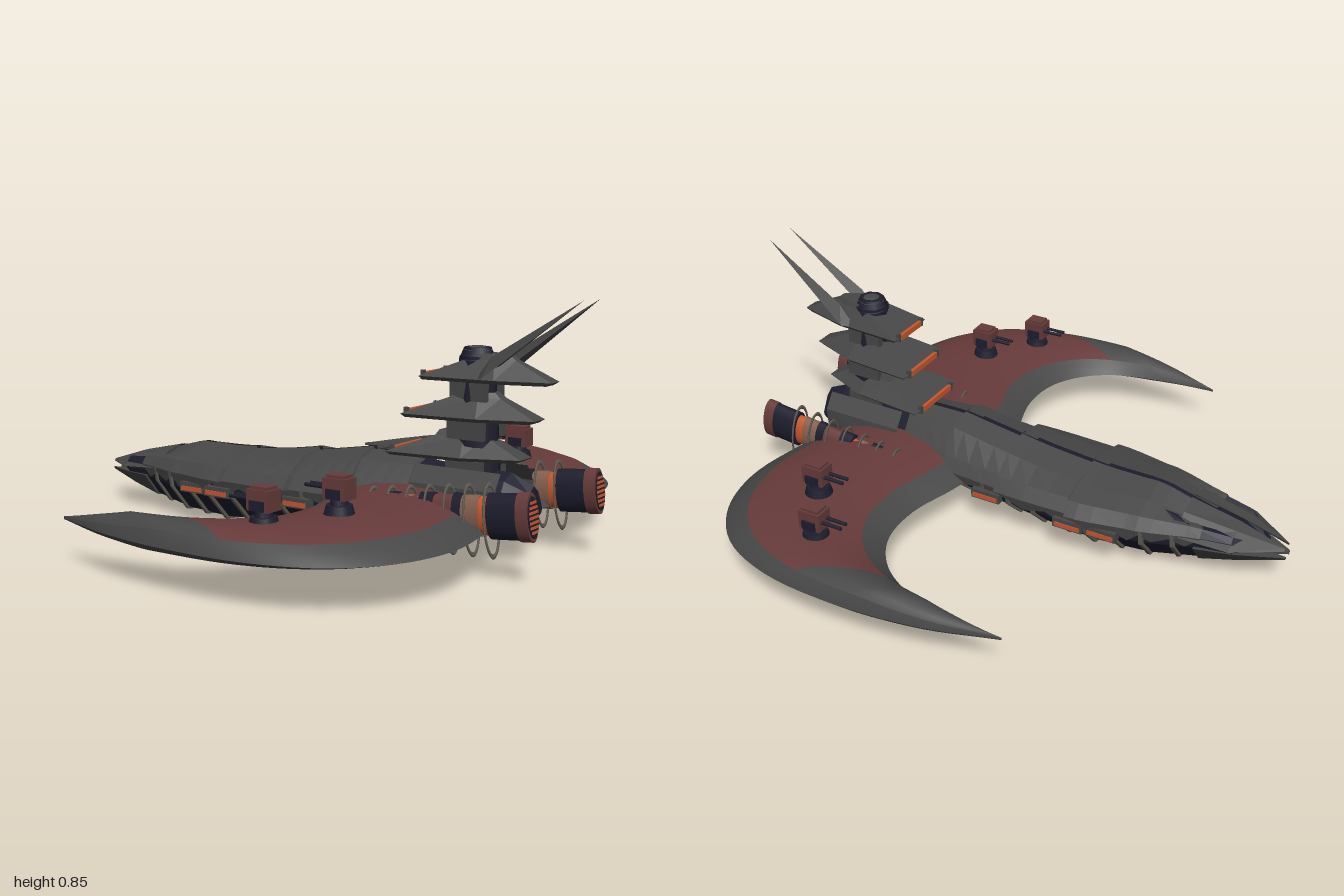
import * as THREE from 'three';

const mat = (name, color) => {
  const m = new THREE.MeshStandardMaterial({ color, side: THREE.DoubleSide });
  m.name = name;
  return m;
};
const GREY = mat('armour grey', 0x474747), NAVY = mat('hull navy', 0x1d1d2e), RED = mat('panel red', 0x663b3a);
const ORANGE = mat('glow orange', 0xc8572f), BROWN = mat('copper brown', 0x86604f), TAN = mat('rib tan', 0x625e55);

function add(parent, name, geo, material, x = 0, y = 0, z = 0) {
  const m = new THREE.Mesh(geo, material);
  m.name = name;
  m.position.set(x, y, z);
  parent.add(m);
  return m;
}
const box = (w, h, d) => new THREE.BoxGeometry(w, h, d);

// Skin over rows of [x, y, z] points; closed rows wrap around and get end caps
function loft(rows, { closed = false, smooth = false } = {}) {
  const n = rows[0].length, pos = rows.flat(2), idx = [];
  for (let r = 0; r < rows.length - 1; r++)
    for (let i = 0; i < (closed ? n : n - 1); i++) {
      const a = r * n + i, b = r * n + (i + 1) % n, c = a + n, d = b + n;
      idx.push(a, c, b, b, c, d);
    }
  if (closed) for (let i = 1; i < n - 1; i++) {
    const e = (rows.length - 1) * n;
    idx.push(0, i, i + 1, e, e + i + 1, e + i);
  }
  let g = new THREE.BufferGeometry();
  g.setAttribute('position', new THREE.Float32BufferAttribute(pos, 3));
  g.setIndex(idx);
  if (!smooth) g = g.toNonIndexed();
  g.computeVertexNormals();
  return g;
}

// Hull stations: z, half width, top, bottom
const HULL = [
  [-0.93, 0.03, 0.155, 0.11], [-0.84, 0.11, 0.185, 0.07], [-0.7, 0.14, 0.225, 0.045], [-0.55, 0.185, 0.265, 0.022],
  [-0.35, 0.21, 0.26, 0.014], [-0.1, 0.2, 0.275, 0.03], [0.1, 0.18, 0.3, 0.048], [0.22, 0.17, 0.315, 0.06],
  [0.4, 0.14, 0.31, 0.07], [0.55, 0.115, 0.3, 0.08], [0.74, 0.1, 0.295, 0.09], [0.82, 0.06, 0.26, 0.14],
];
function station(z) {
  let i = 0;
  while (i < HULL.length - 2 && HULL[i + 1][0] < z) i++;
  const a = HULL[i], b = HULL[i + 1], t = (z - a[0]) / (b[0] - a[0]);
  return a.map((v, k) => v + (b[k] - v) * t);
}
// Half section from ridge to keel, swollen by s around the hull axis
function half(z, s = 1) {
  const [, w, t, b] = station(z), m = Math.min(0.18, t - 0.01);
  return [[0, t], [w * 0.5, t - 0.022], [w * 0.85, m + 0.04 * (t - b) / 0.25], [w, m],
    [w * 0.94, m - (m - b) * 0.35], [w * 0.5, b + 0.012], [0, b]].map(([x, y]) => [x * s, 0.17 + (y - 0.17) * s, z]);
}
const mirrorX = ([x, y, z]) => [-x, y, z];

function addHull(ship) {
  const ring = z => { const h = half(z); return [...h, ...h.slice(1, -1).reverse().map(mirrorX)]; };
  add(ship, 'hullCore', loft(HULL.map(s => ring(s[0])), { closed: true }), NAVY);
  // Thin ribs wrapped under the belly
  for (let i = 0; i < 11; i++) {
    const z = -0.66 + i * 0.1;
    const belly = (zz, s) => { const h = half(zz, s).slice(3); return [...h, ...h.slice(0, -1).reverse().map(mirrorX)]; };
    add(ship, 'bellyRib', loft([belly(z, 0.98), belly(z + 0.002, 1.06), belly(z + 0.014, 1.06), belly(z + 0.016, 0.98)]), TAN);
  }
}

function addHullSide(side) {
  // Overlapping roof plates with ragged lower edges
  for (const [z0, z1, s0, s1] of [[-0.74, -0.5, 1.04, 1.06], [-0.56, -0.29, 1.03, 1.14], [-0.34, -0.01, 1.03, 1.15],
    [-0.06, 0.22, 1.03, 1.09], [0.16, 0.42, 1.03, 1.06]]) {
    const rows = [0, 0.2, 0.4, 0.65, 0.85, 1].map((t, i) => {
      const h = half(z0 + (z1 - z0) * t, s0 + (s1 - s0) * t).slice(0, 5);
      const drop = [0.1, 0.9, 0.35, 0.75, 0.25, 0.05][i];
      h[0][0] = 0.01;
      h[4] = h[3].map((v, k) => v + (h[4][k] - v) * drop);
      return h;
    });
    const rear = rows[5].map(([x, y, z]) => [x * 0.9, 0.17 + (y - 0.17) * 0.86, z + 0.008]);
    add(side, 'roofPlate', loft([...rows, rear]), GREY);
  }
  // Split beak
  add(side, 'upperBeak', loft([
    [[0.01, 0.245, -0.66], [0.08, 0.228, -0.66], [0.158, 0.175, -0.66], [0.1, 0.15, -0.66]],
    [[0.01, 0.205, -0.84], [0.06, 0.198, -0.84], [0.135, 0.16, -0.84], [0.08, 0.145, -0.84]],
    [[0.016, 0.156, -0.995], [0.019, 0.156, -0.995], [0.026, 0.148, -0.995], [0.02, 0.146, -0.995]]], { closed: true }), GREY);
  add(side, 'lowerBeak', loft([
    [[0.145, 0.14, -0.72], [0.075, 0.056, -0.72], [0.008, 0.042, -0.72], [0.01, 0.13, -0.72]],
    [[0.105, 0.135, -0.85], [0.06, 0.085, -0.85], [0.008, 0.07, -0.85], [0.01, 0.13, -0.85]],
    [[0.026, 0.123, -1], [0.02, 0.114, -1], [0.014, 0.114, -1], [0.016, 0.122, -1]]], { closed: true }), GREY);
  // Side window blocks
  for (const z of [-0.42, -0.3, 0.03]) {
    const x = station(z)[1];
    add(side, 'windowHousing', box(0.04, 0.035, 0.11), GREY, x, 0.14, z);
    add(side, 'sideWindow', box(0.046, 0.016, 0.095), ORANGE, x, 0.136, z);
  }
  // Stern cheek plate
  add(side, 'sternPlate', loft([0.44, 0.6, 0.75].map((z, i) =>
    [[0.09, 0.305], [0.13, 0.25], [0.135 - i * 0.004, 0.19], [0.11, 0.12]].map(([x, y]) => [x, y, z]))), GREY);
}

function addWing(side) {
  const curve = pts => new THREE.CatmullRomCurve3(pts.map(([x, z]) => new THREE.Vector3(x, 0, z)));
  const lead = curve([[0.1, 0.11], [0.25, 0.145], [0.42, 0.19], [0.58, 0.18], [0.7, 0.11], [0.78, 0], [0.82, -0.14], [0.841, -0.28], [0.85, -0.4]]);
  const trail = curve([[0.1, 0.735], [0.28, 0.79], [0.5, 0.815], [0.7, 0.76], [0.85, 0.63], [0.935, 0.42], [0.955, 0.14], [0.925, -0.14], [0.85, -0.4]]);
  const N = 40, V = [0, 0.03, 0.08, 0.14, 0.3, 0.5, 0.7, 0.85, 0.92, 0.97, 1];
  const rows = (r0, r1, c0, c1, rise) => {
    const out = [];
    for (let r = r0; r <= r1; r++) {
      const t = r / N, a = lead.getPoint(t), b = trail.getPoint(t);
      const h = rise * (1 - 0.25 * t) * Math.min(1, (1 - t) * 4 + 0.1);
      out.push(V.slice(c0, c1 + 1).map(v =>
        [a.x + (b.x - a.x) * v, 0.15 + h * (1 - Math.abs(2 * v - 1) ** 3), a.z + (b.z - a.z) * v]));
    }
    return out;
  };
  const skin = (name, m, ...r) => add(side, name, loft(rows(...r), { smooth: true }), m);
  skin('wingLeadingBand', GREY, 0, N, 0, 3, 0.088);
  skin('wingTrailingBand', GREY, 0, N, 7, 10, 0.088);
  skin('wingTip', GREY, 26, N, 3, 7, 0.088);
  skin('wingRedPanel', RED, 0, 26, 3, 7, 0.088);
  skin('wingUnderside', GREY, 0, N, 0, 10, -0.034);
}

function addTurret(side, x, y, z) {
  const t = new THREE.Group();
  t.name = 'turret';
  t.position.set(x, y, z);
  side.add(t);
  add(t, 'turretBase', new THREE.CylinderGeometry(0.04, 0.048, 0.03, 16), NAVY, 0, 0.01, 0);
  add(t, 'turretNeck', new THREE.CylinderGeometry(0.024, 0.03, 0.03, 12), NAVY, 0, 0.035, 0);
  add(t, 'turretBody', box(0.062, 0.064, 0.08), RED, 0, 0.075, 0);
  add(t, 'turretRoof', box(0.05, 0.01, 0.064), RED, 0, 0.111, 0);
  for (const s of [-1, 1]) {
    add(t, 'turretCheek', box(0.008, 0.03, 0.05), NAVY, s * 0.034, 0.06, 0);
    const b = add(t, 'turretBarrel', new THREE.CylinderGeometry(0.006, 0.006, 0.08, 8), NAVY, s * 0.014, 0.075, -0.075);
    b.rotation.x = Math.PI / 2;
  }
}

function addEngine(side) {
  const e = new THREE.Group();
  e.name = 'engine';
  e.position.set(0.235, 0.155, 0.3);
  e.rotation.x = -0.1;
  side.add(e);
  // Banded oval drum: start, end, radius, colour
  for (const [a, b, r, m] of [[0, 0.04, 0.03, RED], [0.04, 0.07, 0.026, ORANGE], [0.07, 0.11, 0.033, NAVY], [0.11, 0.14, 0.027, ORANGE],
    [0.14, 0.18, 0.034, NAVY], [0.18, 0.23, 0.03, BROWN], [0.23, 0.26, 0.027, ORANGE], [0.26, 0.31, 0.035, NAVY],
    [0.31, 0.38, 0.032, RED], [0.38, 0.41, 0.035, NAVY], [0.41, 0.47, 0.032, BROWN], [0.47, 0.5, 0.03, ORANGE],
    [0.5, 0.6, 0.036, NAVY], [0.6, 0.64, 0.038, RED]]) {
    const g = new THREE.CylinderGeometry(r, r, b - a, 20).rotateX(Math.PI / 2).scale(1, 2, 1);
    add(e, 'engineBand', g, m, 0, 0, (a + b) / 2);
  }
  // Oval hoops
  for (let i = 0; i < 7; i++)
    add(e, 'engineHoop', new THREE.TorusGeometry(0.047, 0.0035, 6, 28).scale(1, 2.35 - (6 - i) * 0.06, 1), TAN, 0, -0.015, 0.08 + i * 0.07);
  // Nozzle grille
  add(e, 'nozzle', new THREE.CylinderGeometry(0.032, 0.032, 0.006, 20).rotateX(Math.PI / 2).scale(1, 2, 1), NAVY, 0, 0, 0.641);
  for (let i = -3; i <= 3; i++)
    add(e, 'grilleBar', box(0.058 * Math.sqrt(1 - (i / 4) ** 2), 0.008, 0.008), ORANGE, 0, i * 0.015, 0.642);
}

function addTower(ship) {
  const tower = new THREE.Group();
  tower.name = 'tower';
  ship.add(tower);
  const ring = (w, y, zf, zr) => [[w, zf], [w * 0.8, zf + (zr - zf) * 0.6], [w * 0.28, zr], [-w * 0.28, zr],
    [-w * 0.8, zf + (zr - zf) * 0.6], [-w, zf]].map(([x, z]) => [x, y, z]);
  add(tower, 'column', new THREE.CylinderGeometry(0.06, 0.085, 0.4, 8), NAVY, 0, 0.46, 0.61);
  // Pagoda tiers with lit front edges
  for (const [y, w, zf, zr] of [[0.335, 0.14, 0.35, 0.79], [0.462, 0.128, 0.4, 0.835], [0.585, 0.1, 0.45, 0.885]]) {
    add(tower, 'tier', loft([ring(w * 0.9, y - 0.004, zf + 0.01, zr - 0.02), ring(w, y + 0.008, zf, zr),
      ring(w * 0.52, y + 0.068, zf + 0.15, zr - 0.13), ring(w * 0.45, y + 0.085, zf + 0.16, zr - 0.15)], { closed: true }), GREY);
    add(tower, 'tierWindow', box(w * 1.3, 0.02, 0.012), ORANGE, 0, y + 0.008, zf - 0.001);
    for (const s of [-1, 1]) {
      add(tower, 'edgePost', box(0.012, 0.03, 0.014), GREY, s * w * 0.72, y + 0.01, zf + 0.002);
      add(tower, 'columnButtress', box(0.022, 0.06, 0.13), GREY, s * w * 0.52, y - 0.035, 0.61);
    }
  }
  add(tower, 'cap', new THREE.CylinderGeometry(0.045, 0.062, 0.04, 8), NAVY, 0, 0.668, 0.61);
  add(tower, 'capDome', new THREE.CylinderGeometry(0.02, 0.05, 0.012, 8), GREY, 0, 0.686, 0.61);
  // Swept twin spikes
  for (const s of [-1, 1]) {
    const base = [[0.07, 0.668, 0.7], [0.1, 0.6, 0.68], [0.07, 0.59, 0.64], [0.042, 0.61, 0.68]];
    const rows = [base, base.map(() => [0.06, 0.853, 1])].map(r => r.map(([x, y, z]) => [x * s, y, z]));
    add(tower, 'spike', loft(rows, { closed: true }), GREY);
  }
}

export function createModel() {
  const ship = new THREE.Group();
  ship.name = 'airship';
  addHull(ship);
  for (const s of [1, -1]) {
    const side = new THREE.Group();
    side.name = s > 0 ? 'leftSide' : 'rightSide';
    side.scale.x = s;
    ship.add(side);
    addHullSide(side);
    addWing(side);
    addTurret(side, 0.565, 0.232, 0.47);
    addTurret(side, 0.76, 0.215, 0.34);
    addEngine(side);
  }
  addTower(ship);
  return ship;
}
